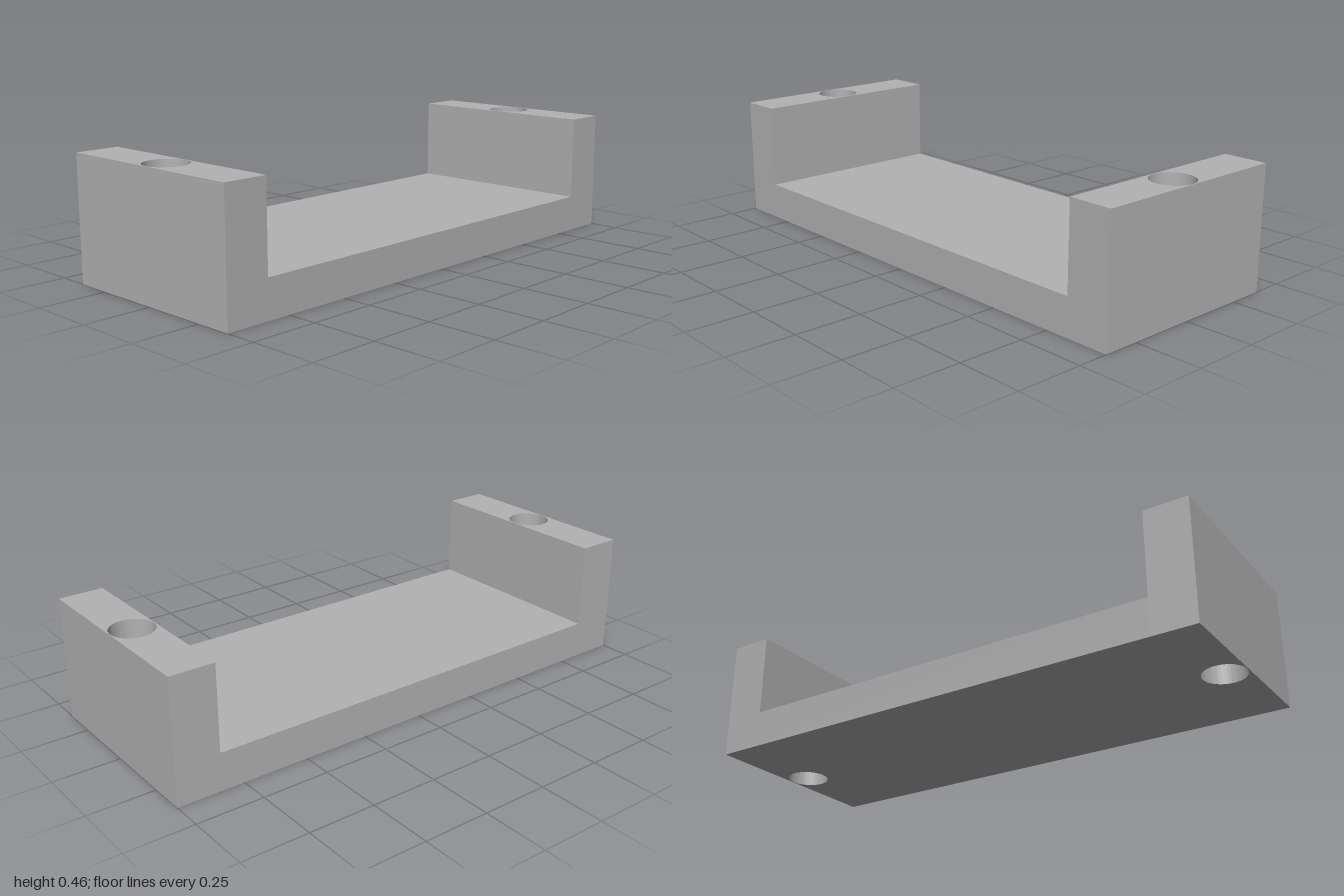
import * as THREE from 'three';
import { toCreasedNormals } from 'three/addons/utils/BufferGeometryUtils.js';

const WIDTH = 0.77, HEIGHT = 0.46, FLOOR = 0.14;
const INNER = 0.835;               // z of the inner face of each end wall
const WALL = 1 - INNER;
const HOLE_RADIUS = 0.079;

// Upright block with a vertical round hole through its middle
function drilledBlock(width, height, depth, radius) {
  const w = width / 2, d = depth / 2;
  const outline = new THREE.Shape([
    new THREE.Vector2(-w, -d), new THREE.Vector2(w, -d),
    new THREE.Vector2(w, d), new THREE.Vector2(-w, d),
  ]);
  outline.holes.push(new THREE.Path().absarc(0, 0, radius, 0, Math.PI * 2, true));
  const geometry = new THREE.ExtrudeGeometry(outline, { depth: height, bevelEnabled: false, curveSegments: 48 });
  geometry.rotateX(-Math.PI / 2);
  return toCreasedNormals(geometry, 0.6);
}

export function createModel() {
  const group = new THREE.Group();
  group.name = 'bracket';
  const grey = new THREE.MeshStandardMaterial({ color: 0xb2b2b2 });
  grey.name = 'grey';

  // Flat floor between the walls
  const floor = new THREE.Mesh(new THREE.BoxGeometry(WIDTH, FLOOR, INNER * 2), grey);
  floor.name = 'floorPlate';
  floor.position.y = FLOOR / 2;
  group.add(floor);

  // Drilled end walls
  const wallGeometry = drilledBlock(WIDTH, HEIGHT, WALL, HOLE_RADIUS);
  for (const [name, side] of [['frontWall', 1], ['backWall', -1]]) {
    const wall = new THREE.Mesh(wallGeometry, grey);
    wall.name = name;
    wall.position.z = side * (INNER + WALL / 2);
    group.add(wall);
  }
  return group;
}
